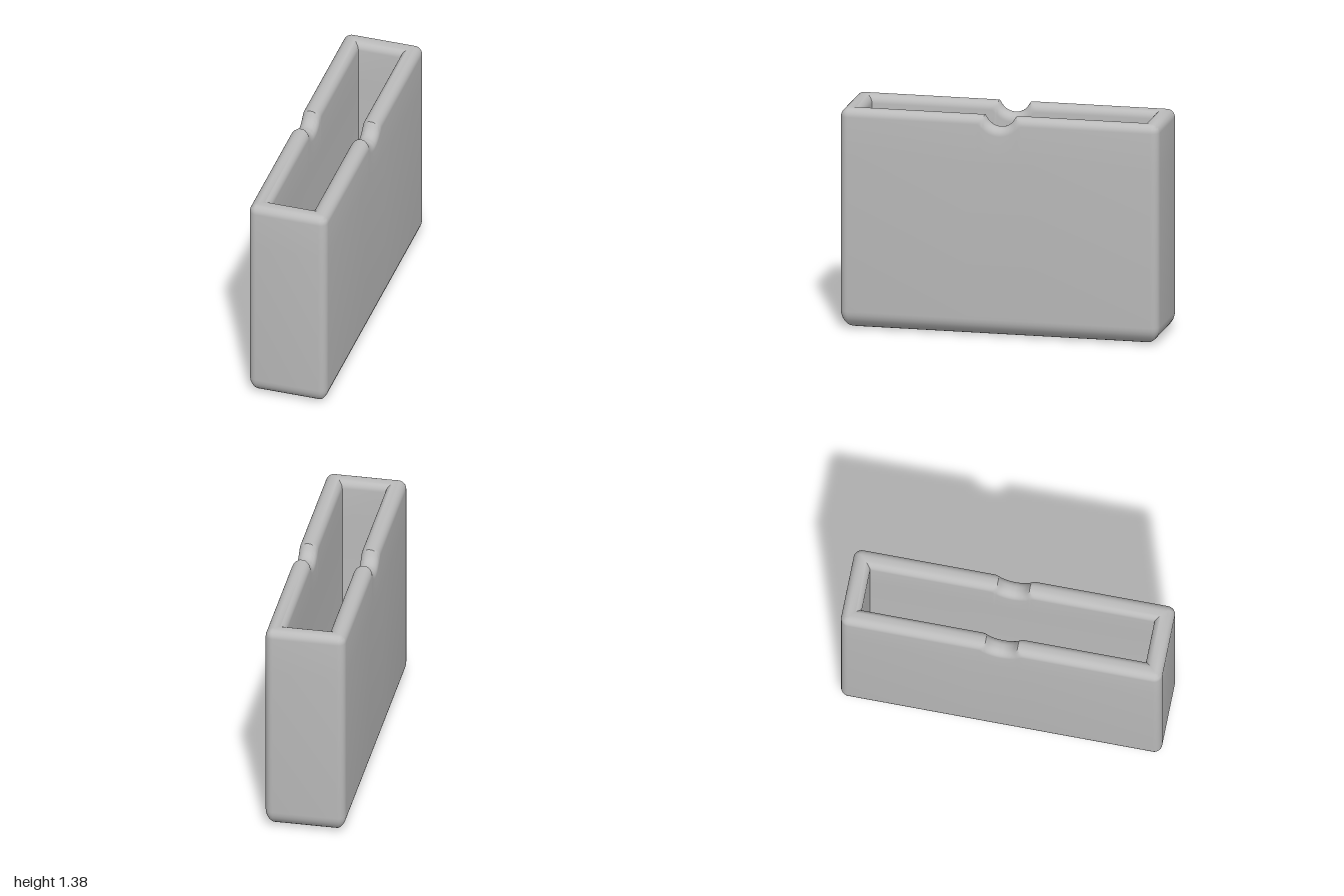
import * as THREE from 'three';
import { toCreasedNormals } from 'three/addons/utils/BufferGeometryUtils.js';

const TOP = 1.385, HX = 0.25, HZ = 1, WALL = 0.115;
const RIM = 0.052, BASE = 0.11, CORNER = 0.05, FLOOR = 0.11, FILLET = 0.04;
const NOTCH_R = 0.1, NOTCH_Y = 1.415;

// Height of the rim contour at depth d below the top, dipping round the finger notch
function rimHeight(d, z) {
  const flat = TOP - d, r = NOTCH_R + d;
  if (Math.abs(z) >= r) return flat;
  const arc = NOTCH_Y - Math.sqrt(r * r - z * z), k = 0.02;
  const h = Math.max(k - Math.abs(flat - arc), 0) / k;
  return Math.min(flat, arc) - h * h * k / 4;
}

// One closed loop round the box, inset from the outside by the given amount
function ring({ inset, y, notched = false, closed = false }) {
  const hx = closed ? 0 : HX - inset, hz = closed ? 0 : HZ - inset;
  const r = closed ? 0 : Math.max(0, CORNER - inset);
  const points = [];
  const side = (s) => {
    for (let i = 0; i <= 40; i++) {
      const z = s * (0.2 - i * 0.01);
      const py = notched ? rimHeight(TOP - y, z) : y;
      points.push([s * hx, py, THREE.MathUtils.clamp(z, -hz, hz)]);
    }
  };
  const corner = (k, sx, sz) => {
    for (let i = 0; i <= 6; i++) {
      const t = (k + i / 6) * Math.PI / 2;
      points.push([sx * (hx - r) + r * Math.cos(t), y, sz * (hz - r) - r * Math.sin(t)]);
    }
  };
  side(1);
  corner(0, 1, -1);
  corner(1, -1, -1);
  side(-1);
  corner(2, -1, 1);
  corner(3, 1, 1);
  return points;
}

// Joins the loops into one skin
function skin(rings) {
  const n = rings[0].length, index = [];
  for (let i = 0; i < rings.length - 1; i++) {
    for (let j = 0; j < n; j++) {
      const a = i * n + j, b = i * n + (j + 1) % n;
      index.push(a, b, b + n, a, b + n, a + n);
    }
  }
  const geometry = new THREE.BufferGeometry();
  geometry.setAttribute('position', new THREE.Float32BufferAttribute(rings.flat(2), 3));
  geometry.setIndex(index);
  return toCreasedNormals(geometry, 0.6);
}

export function createModel() {
  const group = new THREE.Group();
  group.name = 'openBox';
  const grey = new THREE.MeshStandardMaterial({ color: 0xbbbbbb });
  grey.name = 'grey';

  const steps = 8;
  const arc = (fn) => Array.from({ length: steps + 1 }, (_, i) => {
    const t = i / steps * Math.PI / 2;
    return fn(Math.sin(t), Math.cos(t));
  });

  const profile = [
    // underside and rounded base
    { inset: 0, y: 0, closed: true },
    ...arc((s, c) => ({ inset: BASE * (1 - s), y: BASE * (1 - c) })),
    // outer wall and rounded rim
    { inset: 0, y: 1.1 },
    ...arc((s, c) => ({ inset: RIM * (1 - c), y: TOP - RIM * (1 - s), notched: true })),
    ...arc((s, c) => ({ inset: WALL - RIM * (1 - s), y: TOP - RIM * (1 - c), notched: true })),
    // inner wall, floor fillet and floor
    { inset: WALL, y: 1.1 },
    ...arc((s, c) => ({ inset: WALL + FILLET * (1 - c), y: FLOOR + FILLET * (1 - s) })),
    { inset: 0, y: FLOOR, closed: true },
  ];

  const shell = new THREE.Mesh(skin(profile.map(ring)), grey);
  shell.name = 'boxShell';
  group.add(shell);
  return group;
}
